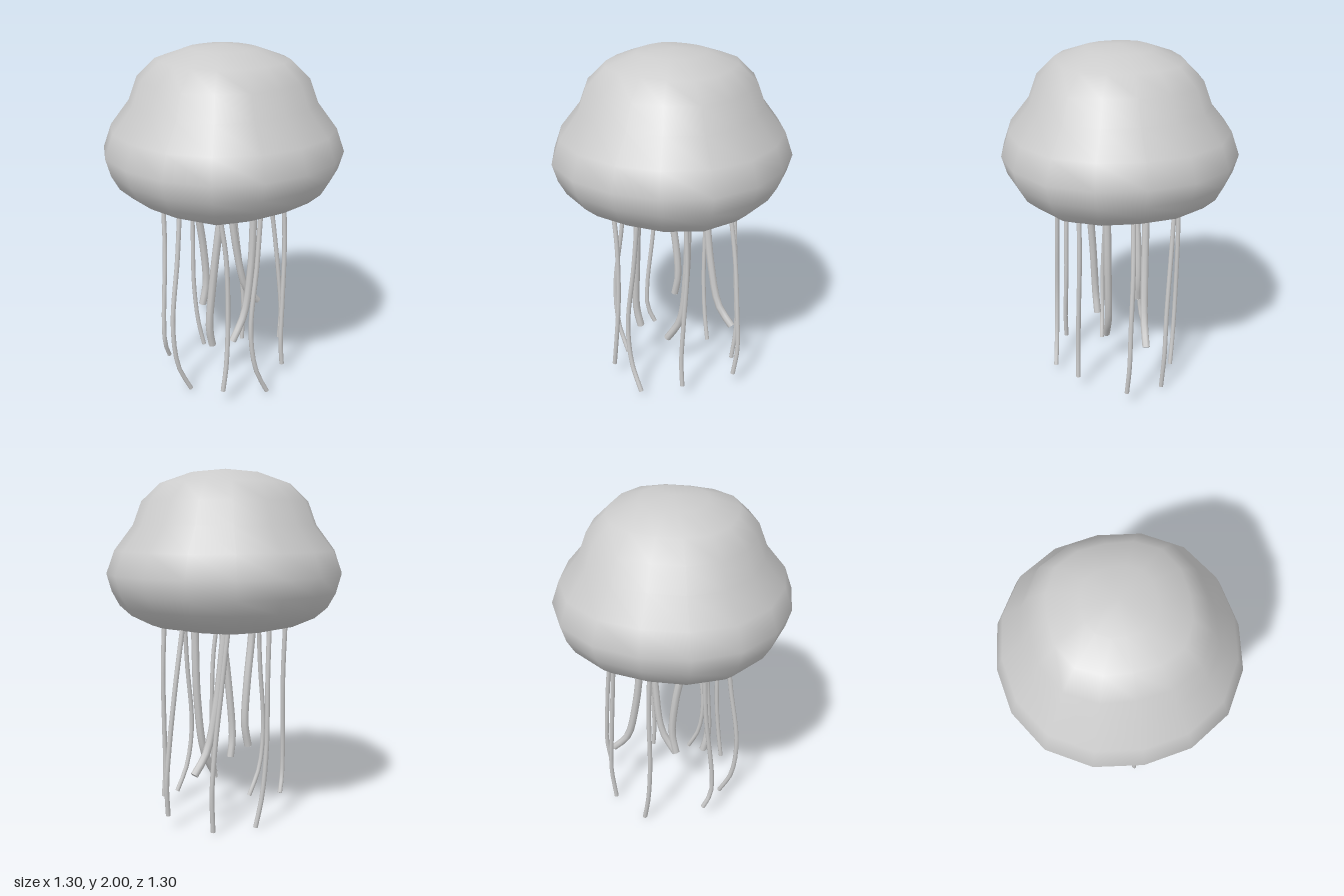
import * as THREE from 'three';
import { mergeVertices } from 'three/addons/utils/BufferGeometryUtils.js';

const material = new THREE.MeshStandardMaterial({ color: 0xcccccc, side: THREE.DoubleSide });

// Bell rings: radius, height, and how far the ring is pushed out at its diagonals
const OUTER = [
  [0.36, 1.125, 0.17], [0.5, 1.18, 0.07], [0.575, 1.24, 0.045], [0.622, 1.32, 0.035],
  [0.65, 1.42, 0.034], [0.605, 1.55, 0.034], [0.49, 1.69, 0.06], [0.44, 1.82, 0.07],
  [0.34, 1.92, 0.08], [0.18, 1.98, 0.08], [0, 2, 0],
];

function bellGeometry() {
  // The lining follows the outer wall, slightly smaller, from the crown down to the lip
  const lining = OUTER.slice(1).reverse().map(([r, y, k]) =>
    [r * 0.93, y > 1.42 ? y - 0.035 : y + 0.015, k]);
  const rings = [...lining, [0.345, 1.14, 0.17], ...OUTER];
  const geo = new THREE.LatheGeometry(rings.map(([r, y]) => new THREE.Vector2(r, y)), 16);

  // Square off each ring towards its diagonals
  const pos = geo.attributes.position;
  for (let i = 0; i < pos.count; i++) {
    const k = rings[i % rings.length][2];
    const x = pos.getX(i), z = pos.getZ(i);
    const f = 1 + k * Math.sin(2 * Math.atan2(x, z)) ** 2;
    pos.setX(i, x * f);
    pos.setZ(i, z * f);
  }
  geo.deleteAttribute('uv');
  geo.deleteAttribute('normal');
  const smooth = mergeVertices(geo, 1e-4);
  smooth.computeVertexNormals();
  return smooth;
}

// A round strand through the given points, with flat ends
function strand(name, points, radius) {
  const group = new THREE.Group();
  group.name = name;
  const curve = new THREE.CatmullRomCurve3(points.map((p) => new THREE.Vector3(...p)));
  group.add(new THREE.Mesh(new THREE.TubeGeometry(curve, 14, radius, 8), material));
  for (const t of [0, 1]) {
    const cap = new THREE.Mesh(new THREE.CircleGeometry(radius, 8), material);
    const out = curve.getTangent(t).multiplyScalar(t ? 1 : -1);
    cap.quaternion.setFromUnitVectors(new THREE.Vector3(0, 0, 1), out);
    cap.position.copy(curve.getPoint(t));
    group.add(cap);
  }
  group.children.forEach((m) => { m.name = name; });
  return group;
}

// Thin strands hanging from the lip
const TENTACLES = [
  [[-0.31, 1.14, 0], [-0.34, 0.85, 0.01], [-0.39, 0.45, 0.02], [-0.365, 0.18, 0.03], [-0.29, 0.01, 0.05]],
  [[-0.24, 1.14, -0.25], [-0.25, 0.8, -0.23], [-0.29, 0.35, -0.205], [-0.285, 0.2, -0.205], [-0.245, 0.1, -0.22]],
  [[-0.24, 1.14, 0.26], [-0.21, 0.9, 0.275], [-0.205, 0.55, 0.285], [-0.225, 0.25, 0.295], [-0.245, 0.09, 0.29]],
  [[-0.03, 1.14, 0.35], [-0.055, 0.85, 0.355], [-0.1, 0.45, 0.36], [-0.07, 0.2, 0.375], [0, 0.04, 0.395]],
  [[0.04, 1.14, -0.345], [0.05, 0.85, -0.345], [0.05, 0.45, -0.34], [0.07, 0.18, -0.325], [0.1, 0.01, -0.305]],
  [[0.225, 1.14, 0.27], [0.235, 0.85, 0.275], [0.22, 0.5, 0.285], [0.21, 0.25, 0.29], [0.22, 0.09, 0.295]],
  [[0.275, 1.14, -0.25], [0.3, 0.85, -0.23], [0.33, 0.5, -0.205], [0.345, 0.25, -0.195], [0.325, 0.02, -0.185]],
  [[0.36, 1.14, 0], [0.405, 0.85, 0.01], [0.44, 0.5, 0.03], [0.455, 0.27, 0.04], [0.435, 0.09, 0.05]],
];

// Thicker strands starting inside the bell
const ARMS = [
  [[-0.12, 1.25, 0.155], [-0.145, 1.05, 0.145], [-0.175, 0.7, 0.12], [-0.19, 0.4, 0.105], [-0.165, 0.28, 0.1]],
  [[-0.11, 1.25, -0.12], [-0.09, 1.05, -0.12], [-0.045, 0.8, -0.125], [-0.025, 0.55, -0.125], [-0.05, 0.42, -0.13]],
  [[0.15, 1.25, 0.105], [0.15, 1.05, 0.1], [0.14, 0.7, 0.095], [0.095, 0.38, 0.085], [0.01, 0.23, 0.08]],
  [[0.14, 1.25, -0.125], [0.16, 1.05, -0.12], [0.205, 0.7, -0.105], [0.27, 0.44, -0.09], [0.36, 0.33, -0.08]],
];

export function createModel() {
  const model = new THREE.Group();
  model.name = 'jellyfish';

  const bell = new THREE.Mesh(bellGeometry(), material);
  bell.name = 'bell';
  model.add(bell);

  TENTACLES.forEach((p) => model.add(strand('tentacle', p, 0.0135)));
  ARMS.forEach((p) => model.add(strand('oralArm', p, 0.022)));
  return model;
}
